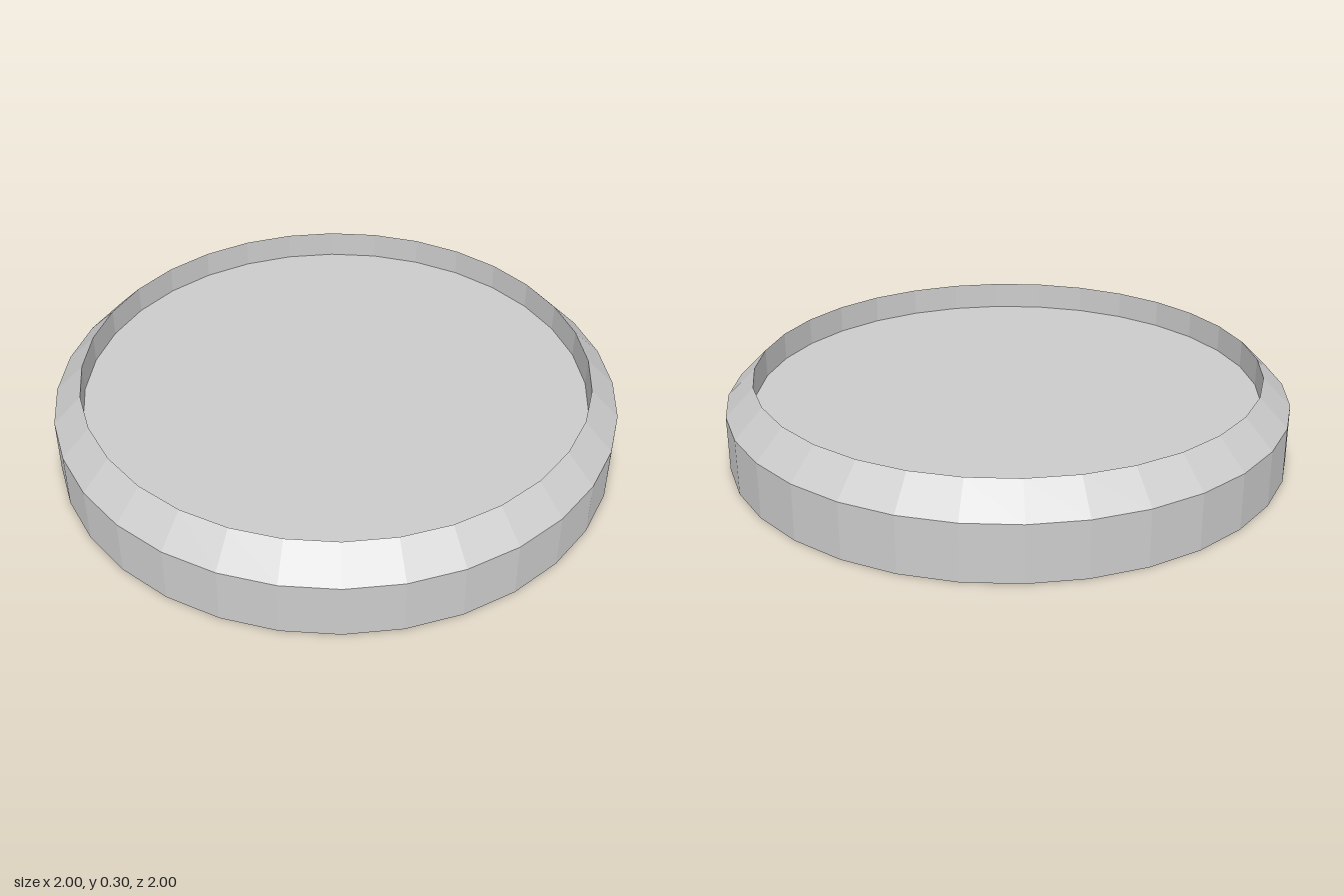
import * as THREE from 'three';

const SIDES = 32;

export function createModel() {
  const group = new THREE.Group();
  group.name = 'shallowDish';
  const material = new THREE.MeshStandardMaterial({ color: 0xcccccc, flatShading: true });

  // Flat base, upright side, bevelled lip, then a vertical inner wall down to the floor
  const profile = [[0, 0], [1, 0], [1, 0.2], [0.9, 0.3], [0.9, 0.2], [0, 0.2]]
    .map(([r, y]) => new THREE.Vector2(r, y));
  const dish = new THREE.Mesh(new THREE.LatheGeometry(profile, SIDES), material);
  dish.name = 'dish';
  group.add(dish);

  return group;
}
